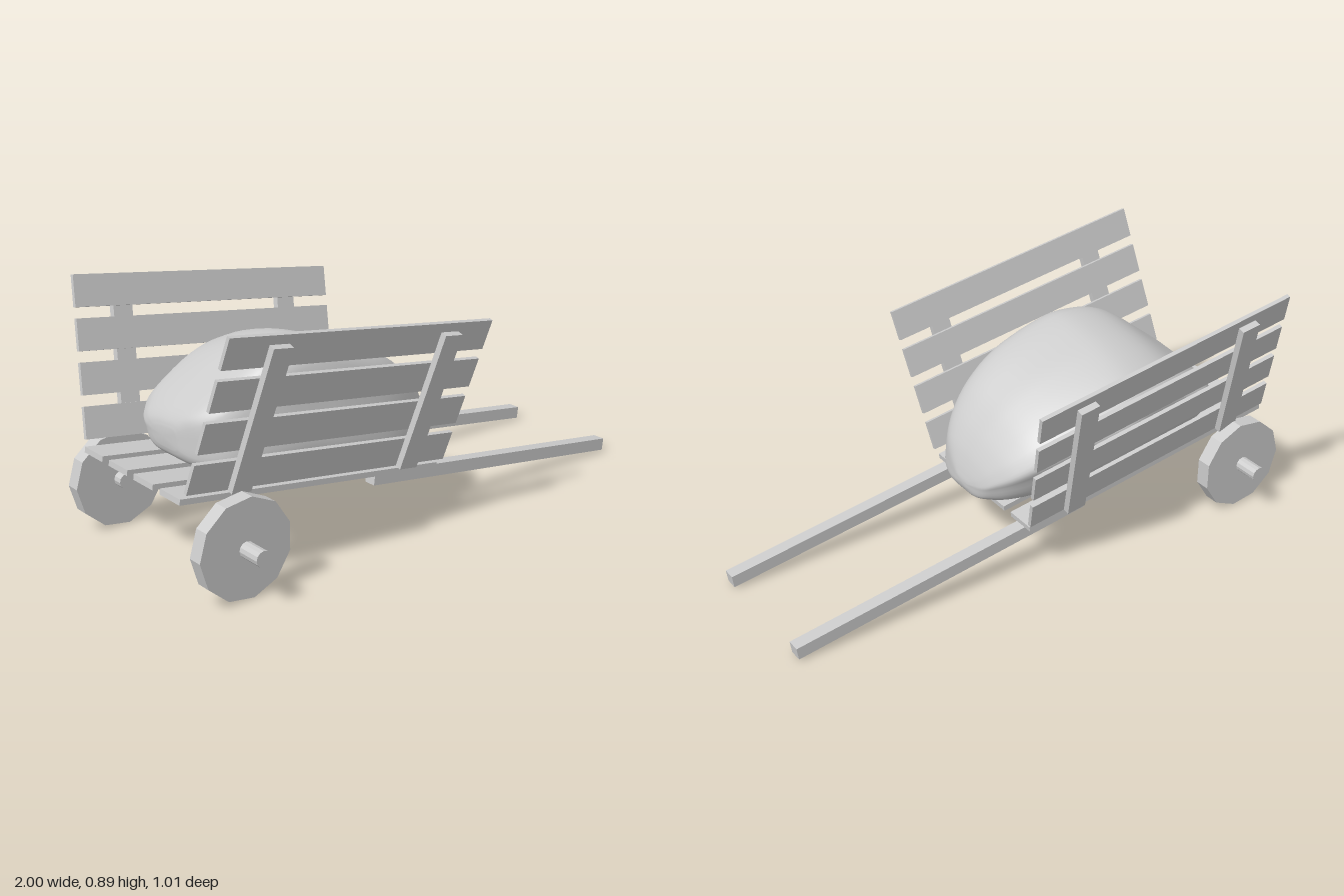
import * as THREE from 'three';

const grey = new THREE.MeshStandardMaterial({ color: 0xcccccc });
const flat = new THREE.MeshStandardMaterial({ color: 0xcccccc, flatShading: true });
const TILT = -THREE.MathUtils.degToRad(7.75);
const LEAN = THREE.MathUtils.degToRad(16.4);
const MID = -0.016; // centre line of the cart bed

function box(parent, name, size, pos) {
  const mesh = new THREE.Mesh(new THREE.BoxGeometry(...size), flat);
  mesh.name = name;
  mesh.position.set(...pos);
  parent.add(mesh);
  return mesh;
}

// Leaning side panel: four slats on two outer posts
function sidePanel(name, side) {
  const panel = new THREE.Group();
  panel.name = name;
  panel.position.z = MID + side * 0.299;
  panel.rotation.x = side * LEAN;
  for (let i = 0; i < 4; i++) {
    box(panel, 'sideSlat', [1.075, 0.111, 0.015], [0, 0.0555 + i * 0.149, side * 0.0075]);
  }
  for (const x of [-0.345, 0.355]) {
    box(panel, 'sidePost', [0.075, 0.525, 0.025], [x, 0.2625, side * 0.0275]);
  }
  return panel;
}

// Cylinder lying along z
function disc(name, radius, depth, sides, z) {
  const geo = new THREE.CylinderGeometry(radius, radius, depth, sides, 1, false, -Math.PI / 2);
  geo.rotateX(Math.PI / 2);
  const mesh = new THREE.Mesh(geo, flat);
  mesh.name = name;
  mesh.position.z = z;
  return mesh;
}

// Lumpy sack lofted along x from one cross-section
function sack() {
  const stations = [ // x, bottom, top, zMin, zMax
    [-0.81, 0.37, 0.44, -0.15, 0.0],
    [-0.80, 0.345, 0.47, -0.21, 0.04],
    [-0.77, 0.325, 0.51, -0.26, 0.12],
    [-0.70, 0.308, 0.57, -0.32, 0.19],
    [-0.55, 0.283, 0.68, -0.35, 0.24],
    [-0.40, 0.263, 0.712, -0.375, 0.262],
    [-0.28, 0.246, 0.69, -0.385, 0.275],
    [-0.12, 0.224, 0.625, -0.34, 0.275],
    [0.0, 0.207, 0.545, -0.29, 0.25],
    [0.08, 0.2, 0.455, -0.23, 0.215],
    [0.13, 0.202, 0.375, -0.165, 0.165],
    [0.155, 0.21, 0.315, -0.11, 0.1],
    [0.168, 0.235, 0.27, -0.04, 0.04],
  ];
  const section = [ // z, y
    [0.275, 0.3], [0.265, 0.45], [0.24, 0.63], [0.2, 0.69], [0.14, 0.71], [0, 0.695],
    [-0.12, 0.675], [-0.3, 0.61], [-0.36, 0.55], [-0.385, 0.5], [-0.36, 0.42],
    [-0.32, 0.3], [-0.27, 0.24], [-0.19, 0.205], [0, 0.2], [0.12, 0.2], [0.2, 0.215], [0.25, 0.25],
  ].map(([z, y]) => new THREE.Vector3((z + 0.385) / 0.66, (y - 0.2) / 0.51, 0));
  const outline = new THREE.CatmullRomCurve3(section, true);
  const spline = (a, b) => new THREE.CatmullRomCurve3(
    stations.map(s => new THREE.Vector3(s[0], s[a], s[b])), false, 'catmullrom', 0.5);
  const heights = spline(1, 2), widths = spline(3, 4);
  const rings = 48, n = 54, pos = [], index = [];
  for (let i = 0; i <= rings; i++) {
    const h = heights.getPoint(i / rings), w = widths.getPoint(i / rings);
    for (let j = 0; j < n; j++) {
      const p = outline.getPoint(j / n);
      pos.push(h.x, h.y + p.y * (h.z - h.y), w.y + p.x * (w.z - w.y));
    }
  }
  for (let i = 0; i < rings; i++) {
    for (let j = 0; j < n; j++) {
      const k = (j + 1) % n, a = i * n + j, b = i * n + k;
      index.push(a, a + n, b, b, a + n, b + n);
    }
  }
  // End caps
  const end = rings * n, poleA = (rings + 1) * n;
  pos.push(-0.813, 0.405, -0.075, 0.17, 0.252, 0);
  for (let j = 0; j < n; j++) {
    const k = (j + 1) % n;
    index.push(poleA, j, k, poleA + 1, end + k, end + j);
  }
  const geo = new THREE.BufferGeometry();
  geo.setAttribute('position', new THREE.Float32BufferAttribute(pos, 3));
  geo.setIndex(index);
  geo.computeVertexNormals();
  const mesh = new THREE.Mesh(geo, grey);
  mesh.name = 'sack';
  return mesh;
}

export function createModel() {
  const model = new THREE.Group();
  model.name = 'handcart';

  // Tilted bed with floor planks and side panels
  const bed = new THREE.Group();
  bed.name = 'bed';
  bed.position.set(-0.4335, 0.286, 0);
  bed.rotation.z = TILT;
  for (const z of [-0.235, -0.0775, 0.0775, 0.235]) {
    box(bed, 'floorPlank', [1.074, 0.02, 0.116], [-0.008, -0.032, MID + z]);
  }
  bed.add(sidePanel('leftPanel', 1), sidePanel('rightPanel', -1));
  model.add(bed);

  for (const side of [1, -1]) {
    // Pulling handles
    const handle = box(model, 'handle', [1.175, 0.046, 0.048], [0.413, 0.107, MID + side * 0.237]);
    handle.rotation.z = -THREE.MathUtils.degToRad(7.6);
    // Wheels with short axle stubs
    const wheel = new THREE.Group();
    wheel.name = 'wheel';
    wheel.position.set(-0.825, 0.173, 0.006);
    wheel.add(disc('wheelDisc', 0.1745, 0.056, 11, side * 0.378));
    wheel.add(disc('axleStub', 0.028, 0.186, 12, side * 0.405));
    model.add(wheel);
  }

  model.add(sack());
  return model;
}
